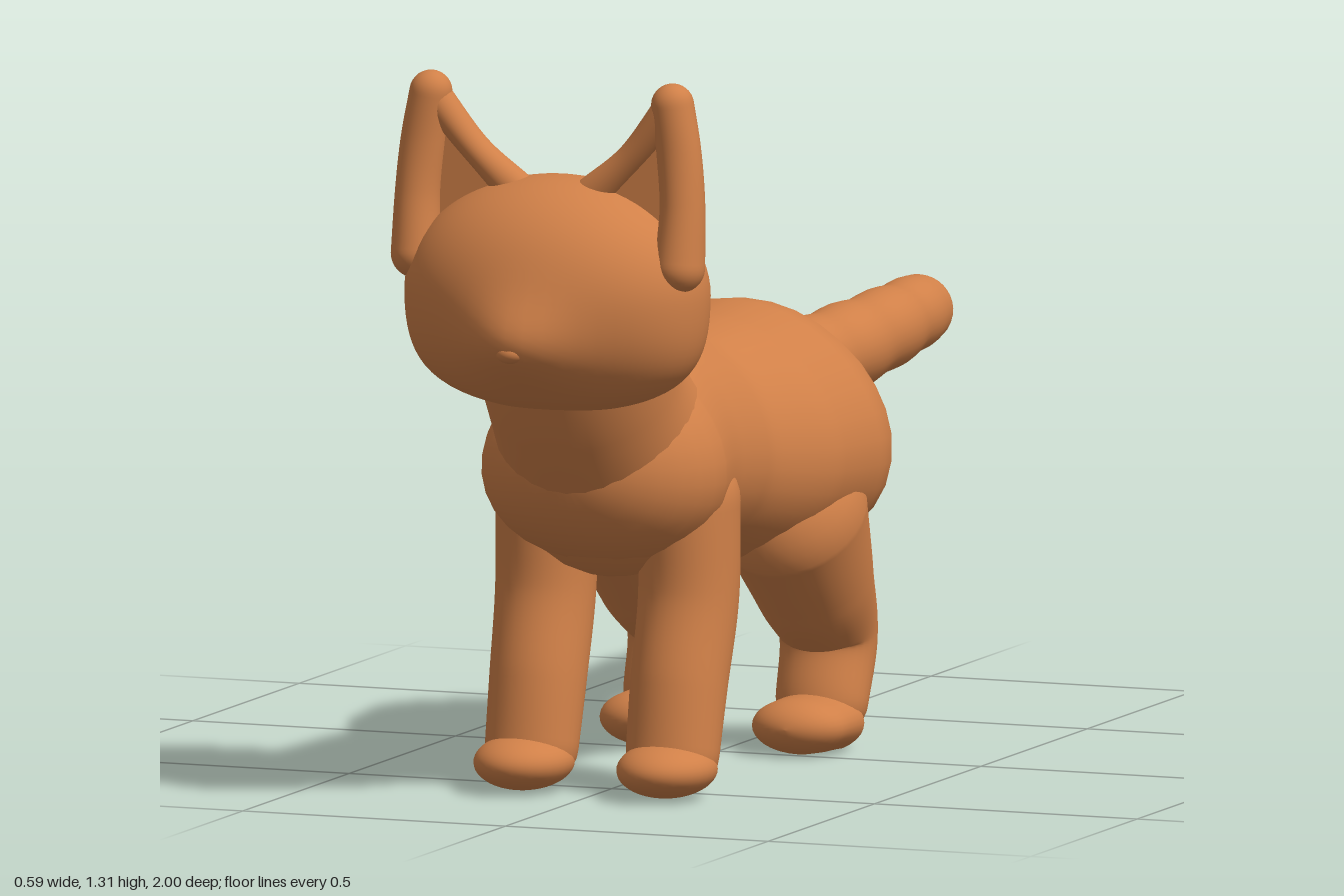
import * as THREE from 'three';

const fur = new THREE.MeshStandardMaterial({ color: 0xd08048 });
fur.name = 'orange fur';

const SIDES = 32, CAP = 8;

// Rounded tube through stations [x, y, z, halfWidth, halfHeight].
// capA / capB: length of the rounded ends; skew narrows the upper half.
function loft(stations, { capA, capB, steps = 40, skew = 0, ripple = 0 } = {}) {
  const path = new THREE.CatmullRomCurve3(stations.map(p => new THREE.Vector3(p[0], p[1], p[2])));
  const size = new THREE.CatmullRomCurve3(stations.map(p => new THREE.Vector3(p[3], p[4], 0)));
  const pos = [], index = [];
  let rings = 0;
  const ring = (t, scale, shift) => {
    const T = path.getTangent(t);
    const c = path.getPoint(t).addScaledVector(T, shift);
    const r = size.getPoint(t);
    const k = scale * (1 + ripple * Math.sin(t * Math.PI * 9));
    const U = new THREE.Vector3(1, 0, 0).addScaledVector(T, -T.x).normalize();
    const N = new THREE.Vector3().crossVectors(T, U);
    for (let j = 0; j < SIDES; j++) {
      const a = j / SIDES * Math.PI * 2;
      const up = Math.sin(a) * Math.sign(N.y || 1);
      const p = c.clone()
        .addScaledVector(U, Math.cos(a) * r.x * k * (1 - skew * up))
        .addScaledVector(N, Math.sin(a) * r.y * k);
      pos.push(p.x, Math.max(p.y, 0.003), p.z);
    }
    rings++;
  };
  const first = stations[0], last = stations[stations.length - 1];
  const dA = capA ?? Math.min(first[3], first[4]);
  const dB = capB ?? Math.min(last[3], last[4]);
  for (let i = CAP; i > 0; i--) {
    const a = i / CAP * Math.PI / 2;
    ring(0, Math.cos(a), -dA * Math.sin(a));
  }
  for (let i = 0; i <= steps; i++) ring(i / steps, 1, 0);
  for (let i = 1; i <= CAP; i++) {
    const a = i / CAP * Math.PI / 2;
    ring(1, Math.cos(a), dB * Math.sin(a));
  }
  for (let i = 0; i < rings - 1; i++) {
    for (let j = 0; j < SIDES; j++) {
      const a = i * SIDES + j, b = i * SIDES + (j + 1) % SIDES;
      index.push(a, b, a + SIDES, b, b + SIDES, a + SIDES);
    }
  }
  const g = new THREE.BufferGeometry();
  g.setAttribute('position', new THREE.Float32BufferAttribute(pos, 3));
  g.setIndex(index);
  g.computeVertexNormals();
  return g;
}

function ellipsoid(rx, ry, rz) {
  return new THREE.SphereGeometry(1, 32, 24).scale(rx, ry, rz);
}

// Round skull, full in the cheeks, drawn forward into a small muzzle
function headGeometry() {
  const g = new THREE.SphereGeometry(1, 56, 40);
  const p = g.attributes.position;
  for (let i = 0; i < p.count; i++) {
    const x = p.getX(i), y = p.getY(i), z = p.getZ(i);
    const cheek = 1 + 0.35 * Math.min(0, y) ** 2;
    const muzzle = z > 0 ? 0.055 * z * Math.exp(-(((y + 0.38) / 0.4) ** 2) - (x / 0.35) ** 2) : 0;
    p.setXYZ(i, x * 0.28 * cheek, y * 0.21, z * 0.205 + muzzle);
  }
  g.computeVertexNormals();
  return g;
}

export function createModel() {
  const model = new THREE.Group();
  const add = (name, geometry, x = 0, y = 0, z = 0) => {
    const mesh = new THREE.Mesh(geometry, fur);
    mesh.name = name;
    mesh.position.set(x, y, z);
    model.add(mesh);
    return mesh;
  };

  // Rump, waist and chest
  add('torso', loft([
    [0, 0.565, -0.08, 0.285, 0.235],
    [0, 0.57, 0.08, 0.268, 0.222],
    [0, 0.585, 0.24, 0.2, 0.197],
    [0, 0.6, 0.38, 0.2, 0.2],
    [0, 0.6, 0.52, 0.225, 0.192],
  ], { capA: 0.22, capB: 0.2, skew: 0.12 }));

  add('neck', loft([
    [0, 0.58, 0.48, 0.2, 0.2],
    [0, 0.73, 0.63, 0.175, 0.17],
    [0, 0.87, 0.71, 0.18, 0.16],
  ]));

  add('head', headGeometry(), 0, 0.922, 0.755);
  add('nose', ellipsoid(0.027, 0.018, 0.022), 0, 0.842, 0.977);

  // Tail with soft ripples
  add('tail', loft([
    [0, 0.635, -0.2, 0.088, 0.088],
    [0, 0.64, -0.4, 0.082, 0.08],
    [0, 0.645, -0.6, 0.08, 0.077],
    [0, 0.655, -0.8, 0.072, 0.07],
    [0, 0.665, -0.935, 0.064, 0.063],
  ], { steps: 64, ripple: 0.03 }));

  for (const s of [1, -1]) {
    const side = s > 0 ? 'left' : 'right';

    // Ear: thick outer rim, slimmer inner rim, thin web between
    add(side + 'EarOuterRim', loft([
      [s * 0.25, 0.985, 0.8, 0.045, 0.05],
      [s * 0.252, 1.09, 0.79, 0.04, 0.043],
      [s * 0.243, 1.19, 0.785, 0.04, 0.038],
      [s * 0.23, 1.272, 0.782, 0.038, 0.038],
    ]));
    add(side + 'EarInnerRim', loft([
      [s * 0.224, 1.265, 0.78, 0.03, 0.032],
      [s * 0.15, 1.175, 0.772, 0.026, 0.03],
      [s * 0.07, 1.1, 0.768, 0.034, 0.034],
    ]));
    const web = new THREE.Shape([[0.26, 0.96], [0.235, 1.27], [0.08, 1.11], [0.12, 1.0]]
      .map(([x, y]) => new THREE.Vector2(s * x, y)));
    add(side + 'EarWeb', new THREE.ExtrudeGeometry(web, { depth: 0.03, bevelEnabled: false }), 0, 0, 0.752);

    // Front leg slants forward to its paw
    add(side + 'FrontLeg', loft([
      [s * 0.135, 0.52, 0.47, 0.088, 0.11],
      [s * 0.136, 0.35, 0.475, 0.088, 0.097],
      [s * 0.134, 0.2, 0.515, 0.086, 0.088],
      [s * 0.134, 0.08, 0.545, 0.084, 0.076],
    ]));
    add(side + 'FrontPaw', ellipsoid(0.087, 0.05, 0.105), s * 0.136, 0.055, 0.576);

    // Hind leg sweeps back to the hock, paw points forward
    add(side + 'HindLeg', loft([
      [s * 0.15, 0.43, 0.01, 0.128, 0.15],
      [s * 0.15, 0.31, -0.075, 0.108, 0.115],
      [s * 0.145, 0.2, -0.16, 0.088, 0.083],
      [s * 0.145, 0.085, -0.13, 0.084, 0.07],
    ]));
    add(side + 'HindPaw', loft([
      [s * 0.145, 0.05, -0.11, 0.086, 0.055],
      [s * 0.145, 0.052, -0.03, 0.088, 0.05],
    ], { capA: 0.055, capB: 0.075, steps: 6 }));
  }
  return model;
}
